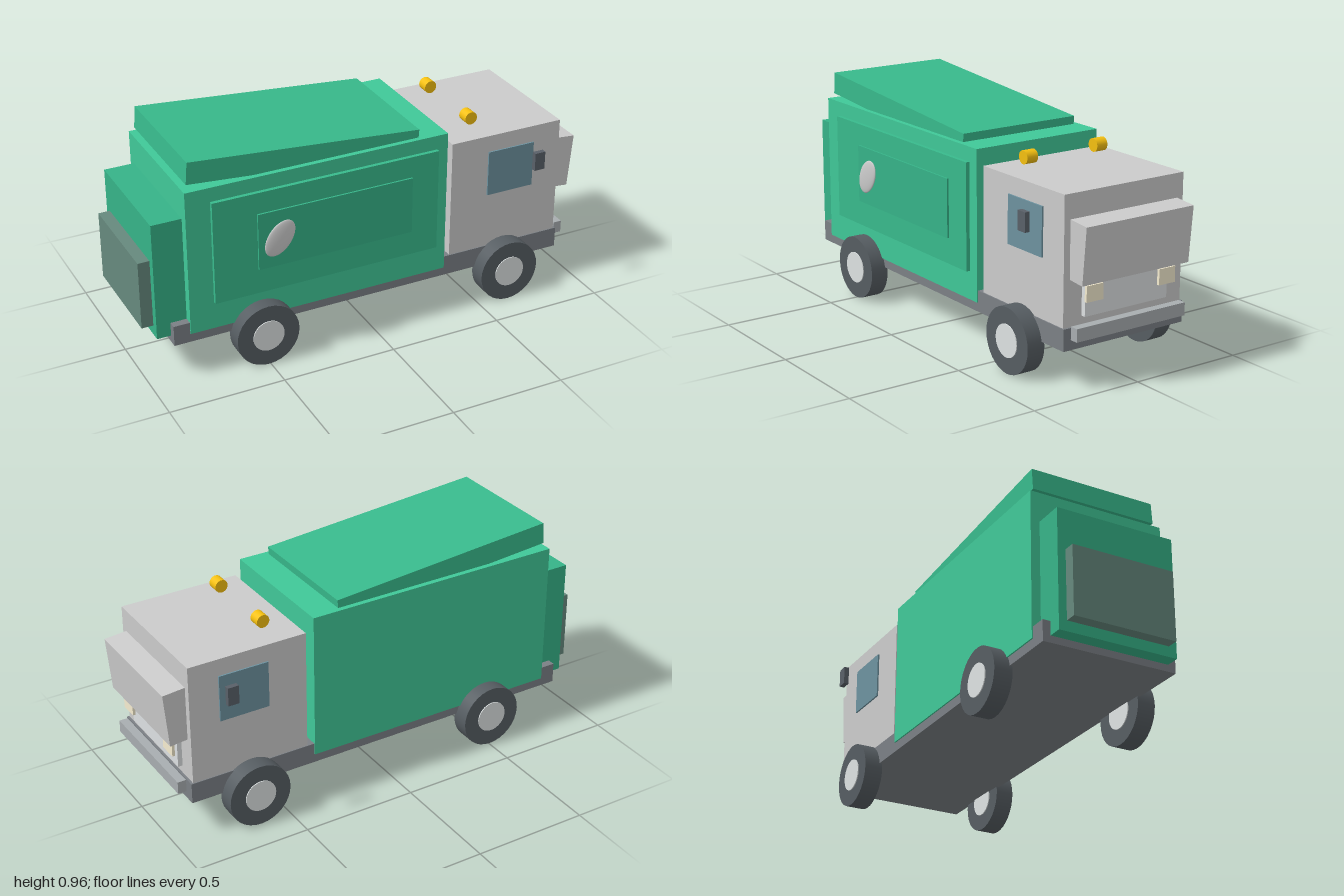
import * as THREE from 'three';

const mat = (color) => new THREE.MeshStandardMaterial({ color });
const M = {
  grey: mat(0xcccccc), body: mat(0x40c898), panel: mat(0x38ba8c), inset: mat(0x36b388),
  plate: mat(0x66897d), chassis: mat(0x7b8085), tyre: mat(0x565d62), hub: mat(0xdde2e2),
  glass: mat(0x6d929f), mirror: mat(0x596068), lamp: mat(0xf5c010), headlight: mat(0xf5ecd0),
  grille: mat(0xdde0e2), bumper: mat(0xa8adb0), dish: mat(0xf8f8f8),
};

export function createModel() {
  const group = new THREE.Group();

  const add = (name, geometry, material, x, y, z) => {
    const mesh = new THREE.Mesh(geometry, material);
    mesh.name = name;
    mesh.position.set(x, y, z);
    group.add(mesh);
    return mesh;
  };
  // box given by its extents on each axis
  const box = (name, material, [x0, x1], [y0, y1], [z0, z1]) =>
    add(name, new THREE.BoxGeometry(x1 - x0, y1 - y0, z1 - z0), material,
      (x0 + x1) / 2, (y0 + y1) / 2, (z0 + z1) / 2);
  // cylinder lying along z
  const drum = (name, material, r, width, x, y, z) =>
    add(name, new THREE.CylinderGeometry(r, r, width, 32).rotateX(Math.PI / 2), material, x, y, z);

  // chassis, cargo body and cab
  box('chassis', M.chassis, [-0.89, 0.91], [0.16, 0.25], [-0.297, 0.297]);
  box('cargoBody', M.body, [-0.82, 0.345], [0.2, 0.84], [-0.303, 0.303]);
  box('cab', M.grey, [0.375, 0.9], [0.2, 0.777], [-0.292, 0.292]);

  // sloping roof lid
  const lid = add('roofLid', new THREE.BoxGeometry(1.02, 0.095, 0.562), M.panel, -0.291, 0.869, 0);
  lid.rotation.z = -0.081;

  // raised side panel with inset and oval badge plate
  box('sidePanel', M.panel, [-0.715, 0.295], [0.322, 0.778], [0.303, 0.32]);
  box('sidePanelInset', M.inset, [-0.525, 0.17], [0.433, 0.685], [0.32, 0.328]);
  const oval = add('sideOval', new THREE.SphereGeometry(1, 32, 20), M.dish, -0.435, 0.563, 0.338);
  oval.scale.set(0.086, 0.055, 0.01);
  oval.rotation.z = 0.95;

  // rear hopper and its plate
  box('rearHopper', M.inset, [-0.95, -0.82], [0.19, 0.71], [-0.263, 0.263]);
  box('rearPlate', M.plate, [-1, -0.95], [0.235, 0.535], [-0.228, 0.228]);

  // cab nose
  const visor = add('windshield', new THREE.BoxGeometry(0.12, 0.236, 0.526), M.grey, 0.927, 0.556, 0);
  visor.rotation.z = -0.088;
  box('grille', M.grille, [0.895, 0.92], [0.285, 0.43], [-0.204, 0.204]);
  box('frontBumper', M.bumper, [0.92, 0.957], [0.206, 0.26], [-0.27, 0.27]);

  // mirrored fittings and wheels
  for (const s of [1, -1]) {
    const z = (a, b) => (s > 0 ? [a, b] : [-b, -a]);
    box('sideWindow', M.glass, [0.55, 0.77], [0.5, 0.703], z(0.28, 0.299));
    box('sideMirror', M.mirror, [0.727, 0.775], [0.614, 0.694], z(0.36, 0.382));
    box('headlight', M.headlight, [0.938, 0.95], [0.353, 0.419], z(0.139, 0.22));
    drum('beacon', M.lamp, 0.028, 0.052, 0.515, 0.827, s * 0.174);
    for (const x of [-0.506, 0.637]) {
      drum('tyre', M.tyre, 0.138, 0.08, x, 0.138, s * 0.325);
      drum('wheelHub', M.hub, 0.069, 0.088, x, 0.138, s * 0.325);
    }
  }
  return group;
}
